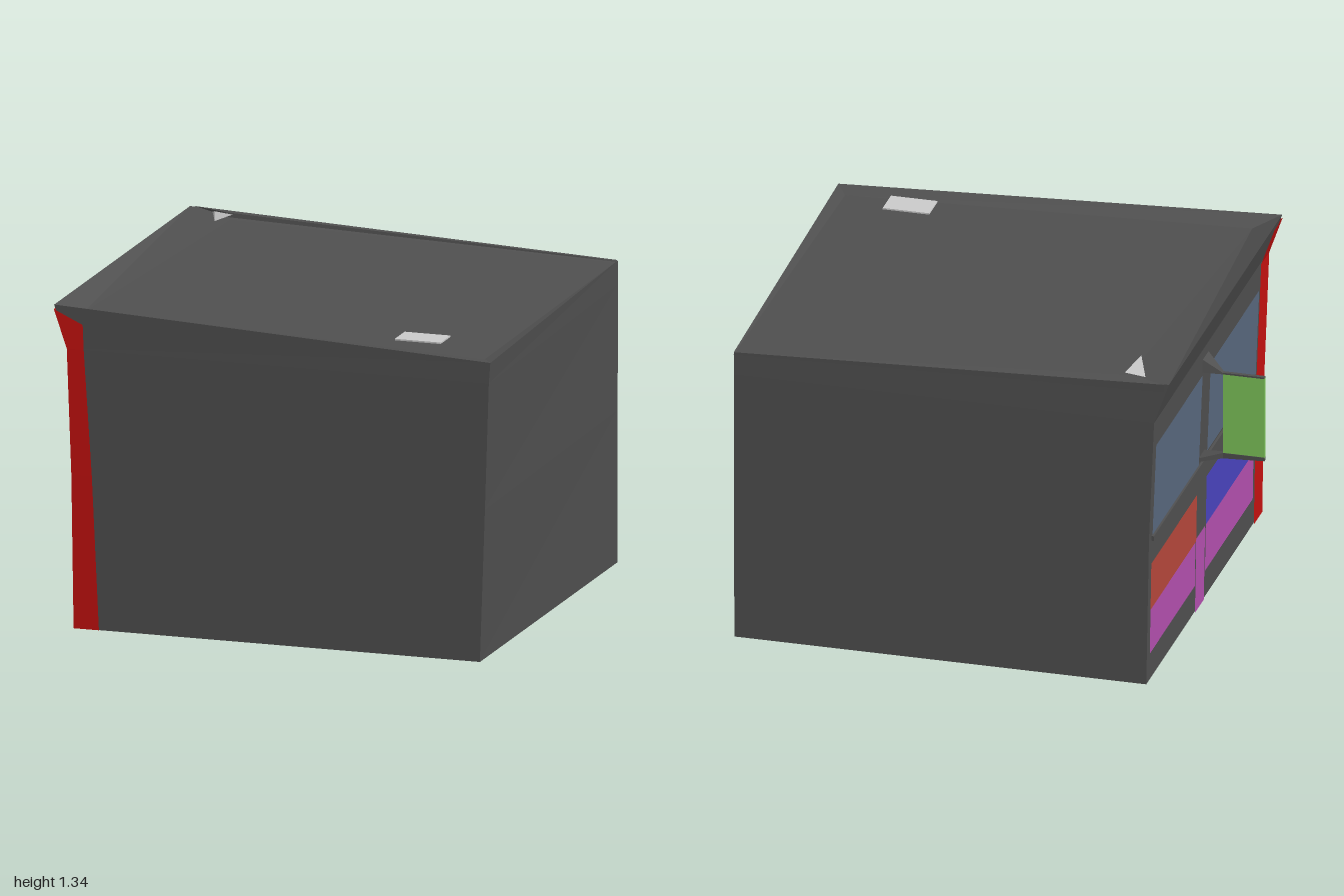
import * as THREE from 'three';

const COLORS = {
  wall: 0x505050, red: 0xc81210, glass: 0x5a6a80, brick: 0xb8483c,
  navy: 0x4a45c0, purple: 0xb551b0, green: 0x80c85c, light: 0xcccccc,
};

function material(color, side = THREE.FrontSide) {
  return new THREE.MeshStandardMaterial({ color, side, flatShading: true });
}

// Skins a stack of rings, counter-clockwise seen from the last ring's end.
function loft(rings, closed = true) {
  const n = rings[0].length, index = [];
  for (let r = 0; r < rings.length - 1; r++) {
    for (let i = 0; i < (closed ? n : n - 1); i++) {
      const j = (i + 1) % n, a = r * n, b = a + n;
      index.push(a + i, a + j, b + j, a + i, b + j, b + i);
    }
  }
  if (closed) {
    const last = (rings.length - 1) * n;
    for (let i = 1; i < n - 1; i++) {
      index.push(0, i + 1, i, last, last + i, last + i + 1);
    }
  }
  const geo = new THREE.BufferGeometry();
  geo.setAttribute('position', new THREE.Float32BufferAttribute(rings.flat(2), 3));
  geo.setIndex(index);
  const flat = geo.toNonIndexed();
  flat.computeVertexNormals();
  return flat;
}

// Leaning shop wall: x for a given height.
function wallX(y) {
  return y < 0.62 ? -0.73 - 0.01 * y / 0.62 : -0.74 - 0.02 * (y - 0.62) / 0.51;
}

export function createModel() {
  const model = new THREE.Group();
  const add = (name, geometry, color, parent = model, side) => {
    const mesh = new THREE.Mesh(geometry, material(color, side));
    mesh.name = name;
    parent.add(mesh);
    return mesh;
  };

  // Building shell with flared cornice, rim and sunken sloping roof
  const level = (xl, xr, xb, y, z) => [[xl, y, z], [xr, y, z], [xb, y, -z], [xl, y, -z]];
  add('building', loft([
    level(-0.73, 0.95, 0.95, 0, 0.84),
    level(-0.74, 0.97, 0.952, 0.62, 0.837),
    level(-0.76, 0.985, 0.954, 1.13, 0.834),
    [[-0.82, 1.302, 0.83], [0.99, 1.213, 0.83], [0.955, 1.225, -0.83], [-0.82, 1.302, -0.83]],
    [[-0.72, 1.265, 0.75], [0.94, 1.205, 0.75], [0.95, 1.222, -0.81], [-0.63, 1.28, -0.76]],
  ]), COLORS.wall);

  // Rear parapet strip
  add('rearParapet', loft([
    [[-0.8, 1.27, -0.77], [0.955, 1.215, -0.815], [0.955, 1.215, -0.835], [-0.8, 1.27, -0.835]],
    [[-0.65, 1.302, -0.78], [0.95, 1.227, -0.82], [0.95, 1.227, -0.835], [-0.8, 1.302, -0.835]],
  ]), COLORS.wall);

  // Red corner pillar wrapping the front edge
  const pillar = [
    [0, -0.735, -0.63, 0.84], [0.62, -0.745, -0.66, 0.838],
    [1.13, -0.765, -0.695, 0.835], [1.285, -0.82, -0.7, 0.832],
  ].map(([y, x, xFront, z]) => [
    [x, y, 0.72], [x, y, z + 0.003], [xFront, Math.min(y, 1.23), z + 0.003],
  ]);
  add('cornerPillar', loft(pillar, false), COLORS.red, model, THREE.DoubleSide);

  // Shop front: flat panels following the wall
  const shop = new THREE.Group();
  shop.name = 'shopFront';
  model.add(shop);
  const panels = [
    ['rearWindow', COLORS.glass, 0.63, 1.02, -0.8, -0.12],
    ['frontWindow', COLORS.glass, 0.64, 1.02, 0, 0.71],
    ['rearShopPanel', COLORS.brick, 0.31, 0.51, -0.81, -0.14],
    ['frontShopPanel', COLORS.navy, 0.32, 0.53, 0, 0.7],
    ['rearBasePanel', COLORS.purple, 0.12, 0.31, -0.81, -0.15],
    ['frontBasePanel', COLORS.purple, 0.12, 0.32, 0, 0.7],
    ['door', COLORS.purple, 0, 0.32, -0.14, -0.01],
  ];
  for (const [name, color, y0, y1, z0, z1] of panels) {
    const row = (y) => [[wallX(y) - 0.004, y, z0], [wallX(y) - 0.004, y, z1]];
    add(name, loft([row(y0), row(y1)], false), color, shop, THREE.DoubleSide);
  }
  // Sill ledge under the windows
  const sill = add('sill', new THREE.BoxGeometry(0.016, 0.02, 1.52), COLORS.wall, shop);
  sill.position.set(-0.742, 0.615, -0.04);

  // Hanging sign with flared brackets
  const sign = new THREE.Group();
  sign.name = 'hangingSign';
  sign.position.z = -0.07;
  model.add(sign);
  add('signBoard', new THREE.BoxGeometry(0.17, 0.35, 0.012), COLORS.green, sign)
    .position.set(-0.915, 0.845, 0);
  const ring = (x, y0, y1, w) => [[x, y0, w], [x, y0, -w], [x, y1, -w], [x, y1, w]];
  add('upperBracket', loft([
    ring(-1, 1.015, 1.022, 0.008), ring(-0.83, 1.015, 1.022, 0.008), ring(-0.752, 1.03, 1.09, 0.045),
  ]), COLORS.wall, sign);
  add('lowerBracket', loft([
    ring(-1, 0.66, 0.675, 0.008), ring(-0.83, 0.652, 0.675, 0.008), ring(-0.735, 0.64, 0.655, 0.045),
  ]), COLORS.wall, sign);

  // Roof hatch and small rooftop spike
  add('roofHatch', new THREE.BoxGeometry(0.19, 0.006, 0.12), COLORS.light)
    .position.set(0.647, 1.243, 0.648);
  const tip = [-0.66, 1.335, -0.66];
  add('roofSpike', loft([
    [[-0.66, 1.295, -0.66], [-0.62, 1.3, -0.76], [-0.71, 1.3, -0.78]], [tip, tip, tip],
  ]), COLORS.light);

  return model;
}
